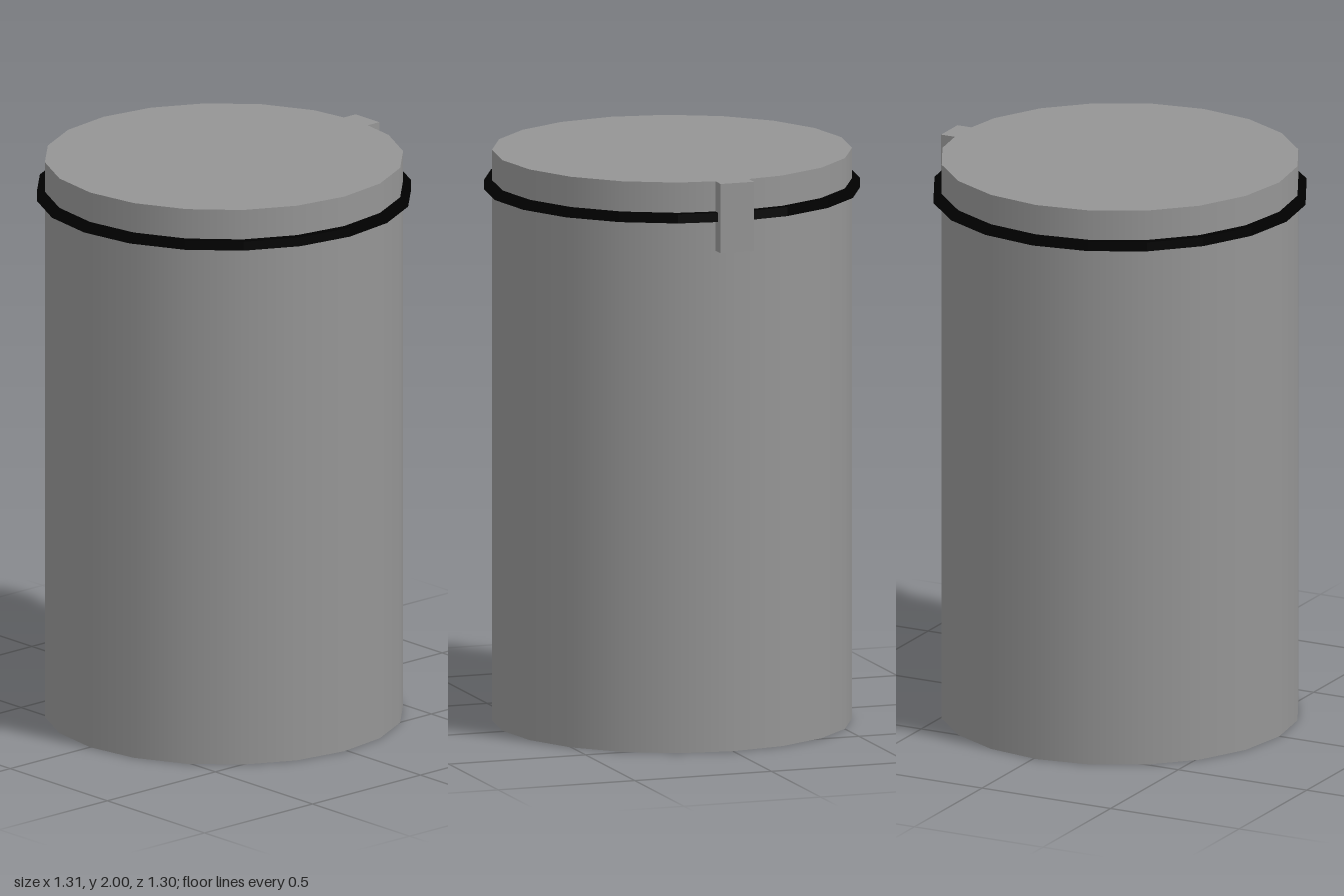
import * as THREE from 'three';

const SIDES = 20;
const RADIUS = 0.62;
const AXIS_X = -0.01; // the drum sits slightly off centre to balance the clasp

export function createModel() {
  const group = new THREE.Group();
  const grey = new THREE.MeshStandardMaterial({ color: 0x959595 });
  const black = new THREE.MeshStandardMaterial({ color: 0x000000, flatShading: true });

  const add = (name, geometry, material, x, y) => {
    const mesh = new THREE.Mesh(geometry, material);
    mesh.name = name;
    mesh.position.set(x, y, 0);
    group.add(mesh);
  };

  // Upright drum section between two heights
  const drum = (name, y0, y1) =>
    add(name, new THREE.CylinderGeometry(RADIUS, RADIUS, y1 - y0, SIDES), grey, AXIS_X, (y0 + y1) / 2);

  // Body and lid, parted by a narrow seam
  drum('body', 0, 1.858);
  drum('lid', 1.864, 2);

  // Square-edged clamping ring above the seam
  const inner = 0.616, outer = 0.648, half = 0.016;
  const section = [
    [inner, -half], [outer, -half], [outer, half], [inner, half], [inner, -half],
  ].map(([r, y]) => new THREE.Vector2(r, y));
  add('clampRing', new THREE.LatheGeometry(section, SIDES), black, AXIS_X, 1.878);

  // Clasp on the left side
  add('clasp', new THREE.BoxGeometry(0.056, 0.243, 0.122), grey, 0.626, 1.8785);

  return group;
}
